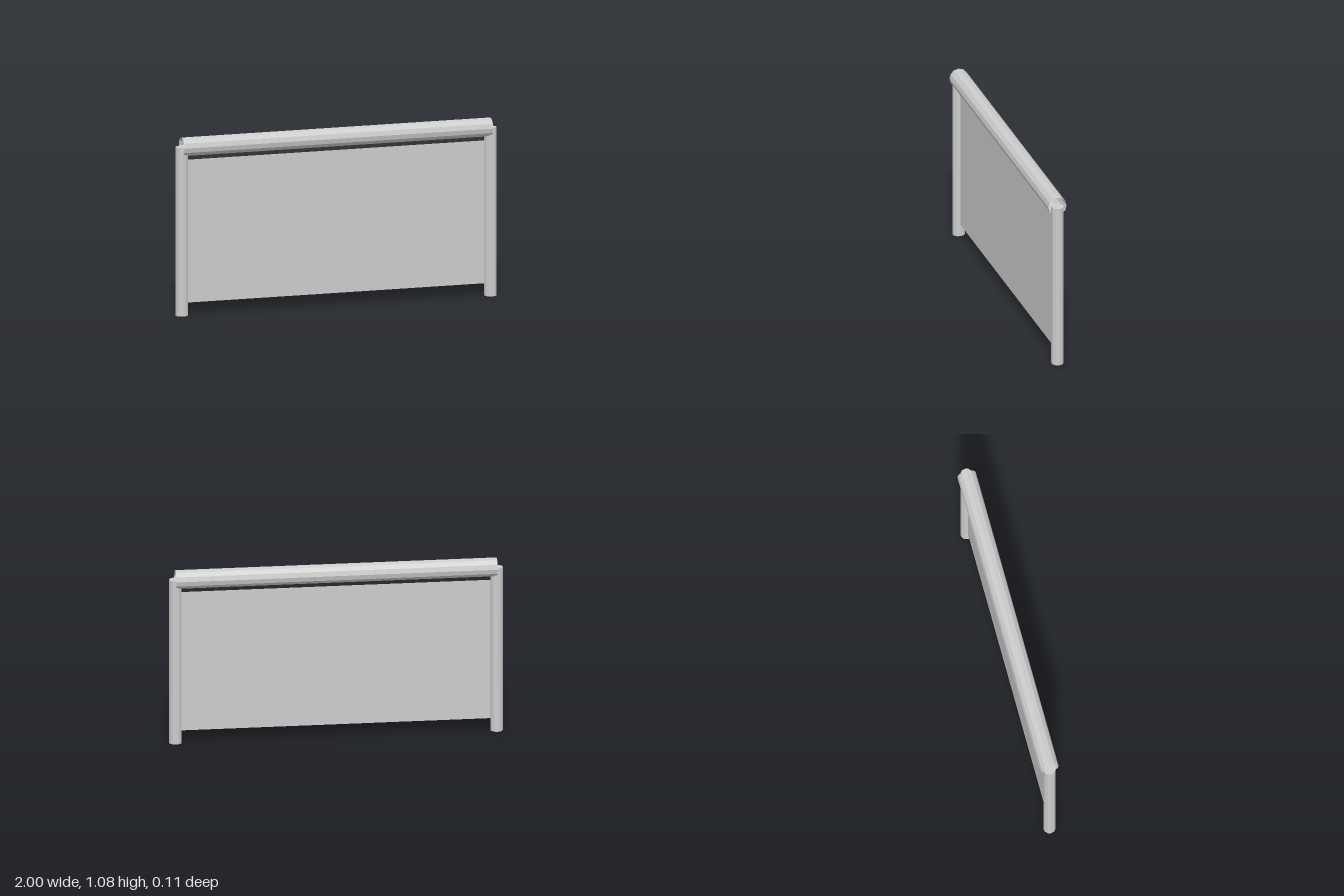
import * as THREE from 'three';

const POST_RADIUS = 0.038;
const POST_HEIGHT = 1.023;
const POST_X = 1 - POST_RADIUS;
const RAIL_RADIUS = 0.057;
const SIDES = 12;

const solid = new THREE.MeshStandardMaterial({ color: 0xcccccc, flatShading: true });
const open = new THREE.MeshStandardMaterial({ color: 0xcccccc, flatShading: true, side: THREE.DoubleSide });

function addPart(group, name, geometry, material, x, y) {
  const mesh = new THREE.Mesh(geometry, material);
  mesh.name = name;
  mesh.position.set(x, y, 0);
  group.add(mesh);
}

export function createModel() {
  const group = new THREE.Group();
  group.name = 'barrier';

  // Capped upright posts
  const post = new THREE.CylinderGeometry(POST_RADIUS, POST_RADIUS, POST_HEIGHT, SIDES);
  addPart(group, 'leftPost', post, solid, POST_X, POST_HEIGHT / 2);
  addPart(group, 'rightPost', post, solid, -POST_X, POST_HEIGHT / 2);

  // Open-ended top rail, running between the post centres
  const rail = new THREE.CylinderGeometry(RAIL_RADIUS, RAIL_RADIUS, POST_X * 2, SIDES, 1, true);
  rail.rotateZ(Math.PI / 2);
  addPart(group, 'topRail', rail, open, 0, POST_HEIGHT);

  // Thin infill sheet between the posts
  const bottom = 0.075, top = 0.943;
  const panel = new THREE.PlaneGeometry((POST_X - POST_RADIUS) * 2, top - bottom);
  addPart(group, 'panel', panel, open, 0, (top + bottom) / 2);

  return group;
}
